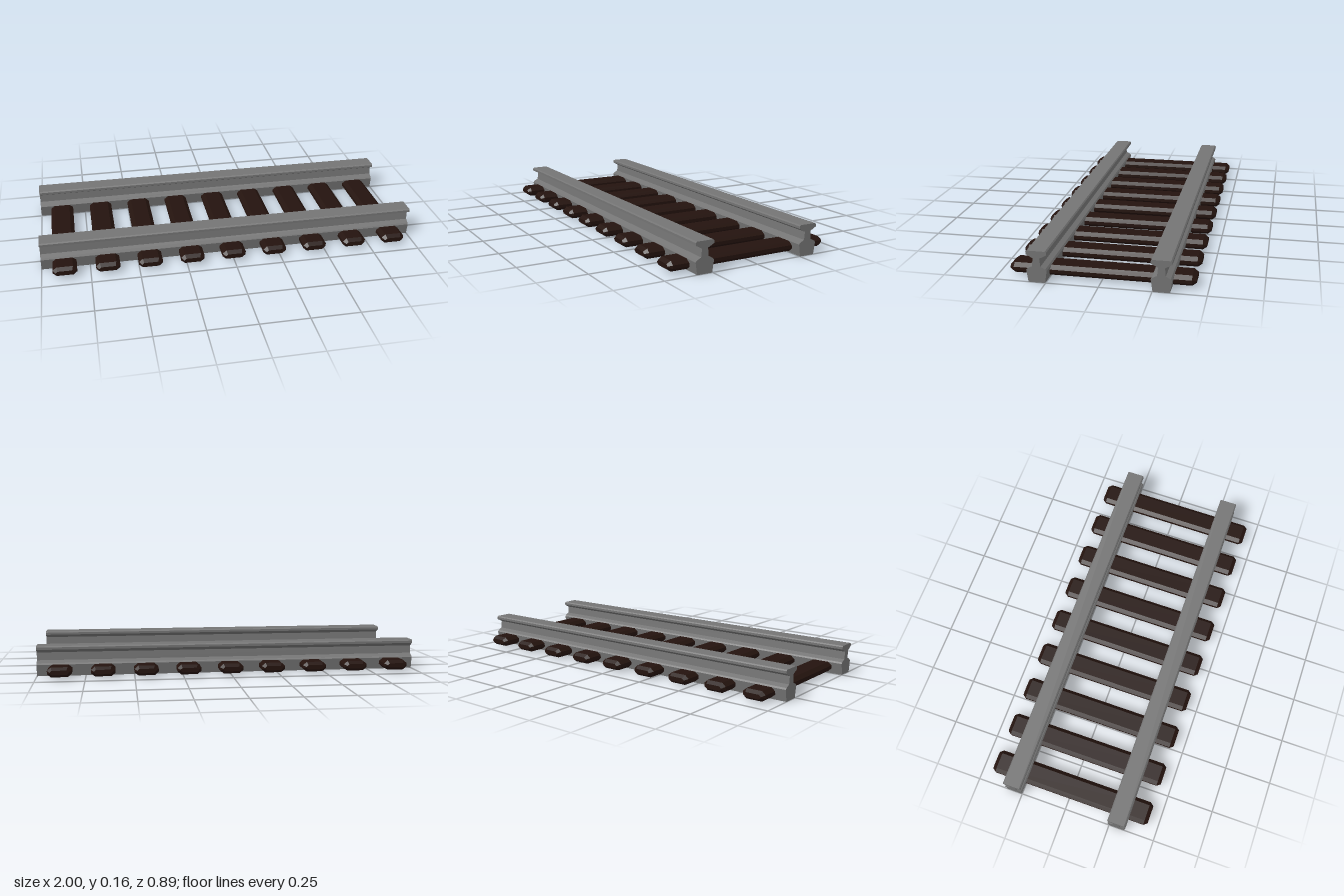
import * as THREE from 'three';

// Closed outline from right-hand half profile points [halfWidth, y], bottom to top
function mirroredShape(half) {
  const left = half.map(([w, y]) => [-w, y]).reverse();
  return new THREE.Shape([...half, ...left].map(([x, y]) => new THREE.Vector2(x, y)));
}

export function createModel() {
  const track = new THREE.Group();
  track.name = 'railwayTrack';

  const steel = new THREE.MeshStandardMaterial({ color: 0x747474, flatShading: true });
  const wood = new THREE.MeshStandardMaterial({ color: 0x24130e, flatShading: true });

  // Rails: wide foot, narrow web and bevelled head, running along x
  const railShape = mirroredShape([
    [0.04, 0], [0.049, 0.06], [0.043, 0.068], [0.02, 0.08],
    [0.016, 0.12], [0.049, 0.138], [0.049, 0.15], [0.043, 0.156],
  ]);
  const railGeometry = new THREE.ExtrudeGeometry(railShape, { depth: 2, bevelEnabled: false });
  railGeometry.translate(0, 0, -1).rotateY(Math.PI / 2);
  for (const side of [1, -1]) {
    const rail = new THREE.Mesh(railGeometry, steel);
    rail.name = side > 0 ? 'frontRail' : 'backRail';
    rail.position.z = side * 0.292;
    track.add(rail);
  }

  // Sleepers: octagonal beams with chamfered ends, running along z
  const halfLength = 0.443, chamfer = 0.02, inset = 0.014;
  const sleeperShape = mirroredShape([
    [0.042, 0.009], [0.062, 0.026], [0.062, 0.043], [0.042, 0.06],
  ]);
  const sleeperGeometry = new THREE.ExtrudeGeometry(sleeperShape, {
    depth: 2 * (halfLength - chamfer),
    bevelThickness: chamfer, bevelSize: inset, bevelOffset: -inset, bevelSegments: 1,
  });
  sleeperGeometry.translate(0, 0, chamfer - halfLength);
  for (let i = 0; i < 9; i++) {
    const sleeper = new THREE.Mesh(sleeperGeometry, wood);
    sleeper.name = `sleeper${i + 1}`;
    sleeper.position.x = (i - 4) * 0.22;
    track.add(sleeper);
  }

  return track;
}
